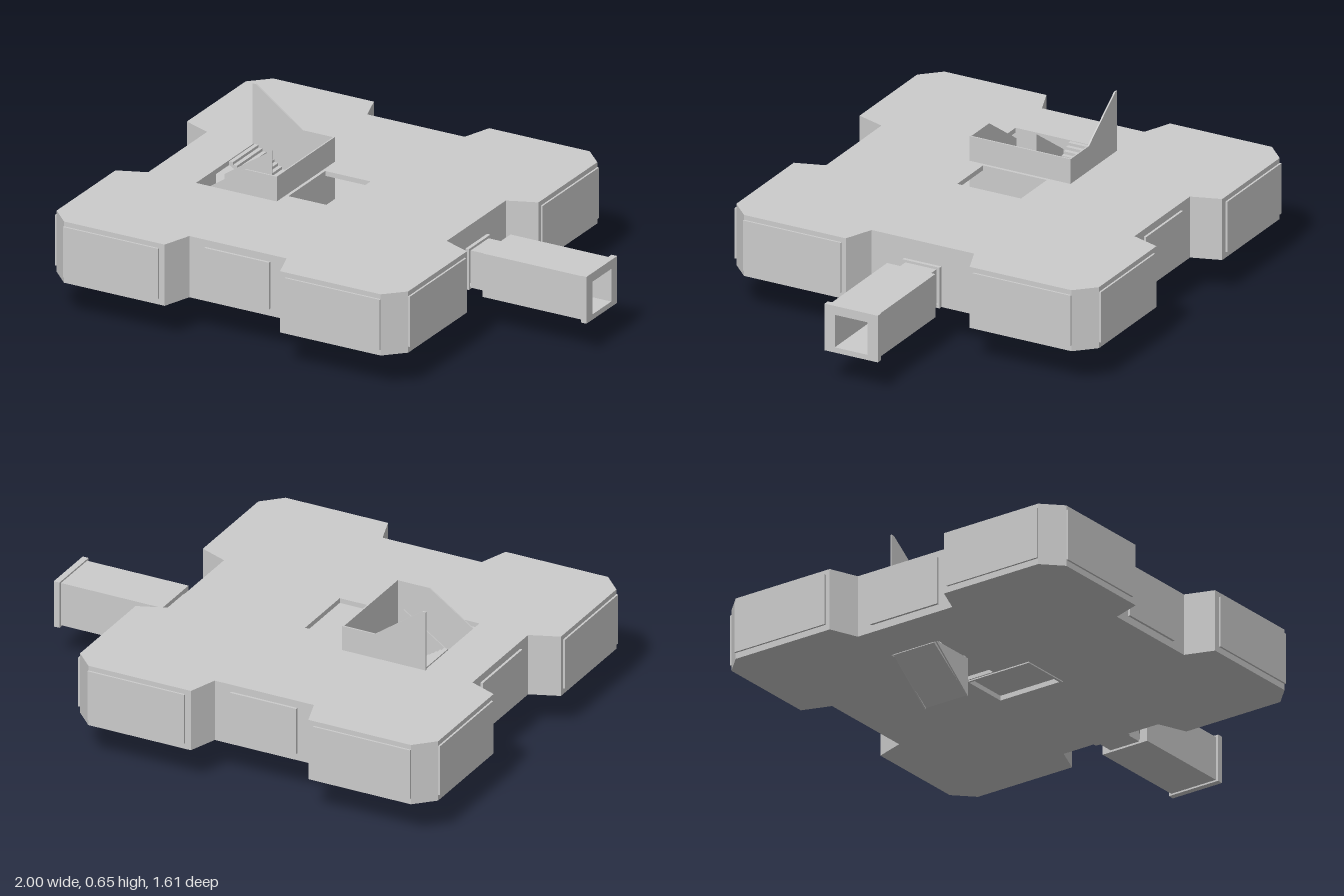
import * as THREE from 'three';

const CX = -0.215; // centre of the main hall
const FLOOR = 0.15, ROOF = 0.405, LANDING = 0.27;

export function createModel() {
  const model = new THREE.Group();
  const mat = new THREE.MeshStandardMaterial({ color: 0xcccccc, flatShading: true, side: THREE.DoubleSide });

  const add = (name, geo, parent = model) => {
    const m = new THREE.Mesh(geo, mat);
    m.name = name;
    parent.add(m);
    return m;
  };
  // Box given by its limits
  const box = (name, x0, x1, y0, y1, z0, z1, parent) =>
    add(name, new THREE.BoxGeometry(x1 - x0, y1 - y0, z1 - z0)
      .translate((x0 + x1) / 2, (y0 + y1) / 2, (z0 + z1) / 2), parent);
  const toShape = pts => new THREE.Shape(pts.map(p => new THREE.Vector2(p[0], p[1])));
  const rectPath = (x0, x1, y0, y1) => new THREE.Path(
    [[x0, y0], [x0, y1], [x1, y1], [x1, y0]].map(p => new THREE.Vector2(...p)));
  // Plan (x, -z) extruded upwards
  const plan = (name, shape, y0, y1, parent) => add(name,
    new THREE.ExtrudeGeometry(shape, { depth: y1 - y0, bevelEnabled: false })
      .rotateX(-Math.PI / 2).translate(0, y0, 0), parent);
  // Side profile (x, y) extruded along z
  const profile = (name, pts, z0, z1, parent) => add(name,
    new THREE.ExtrudeGeometry(toShape(pts), { depth: z1 - z0, bevelEnabled: false })
      .translate(0, 0, z0), parent);

  // Hall outline: four chamfered corner blocks with splayed notches between
  const outline = (inset = 0) => {
    const X = 0.777 - inset, Z = 0.797 - inset, nx = 0.66 - inset, nz = 0.678 - inset;
    const quarter = [
      [nx, 0.225 + inset], [X, 0.272 + inset], [X, 0.72 - inset * 0.4],
      [0.70 - inset * 0.4, Z], [0.255 + inset, Z], [0.215 + inset, nz]];
    const pts = [];
    [[1, 1], [-1, 1], [-1, -1], [1, -1]].forEach(([sx, sz]) => {
      const q = quarter.map(([x, z]) => [CX + x * sx, z * sz]);
      pts.push(...(sx * sz > 0 ? q : q.reverse()));
    });
    return pts;
  };

  const hall = new THREE.Group();
  hall.name = 'hall';
  model.add(hall);

  const walls = toShape(outline());
  walls.holes.push(new THREE.Path(outline(0.025).map(p => new THREE.Vector2(...p))));
  plan('outerWalls', walls, FLOOR, ROOF, hall);

  // Floor and roof slabs with stairwell and hatch openings
  const slab = (name, y0, y1, wellX1, wellZ0, inset) => {
    const s = toShape(outline(inset));
    s.holes.push(rectPath(-0.665, wellX1, wellZ0, 0.222));
    s.holes.push(rectPath(-0.295, -0.095, -0.155, 0.125));
    plan(name, s, y0, y1, hall);
  };
  slab('roof', ROOF - 0.02, ROOF, -0.308, -0.222, 0.002);
  slab('floor', FLOOR, FLOOR + 0.015, -0.31, -0.0, 0.002);

  // Slim frame under the floor hatch
  const frame = toShape([[-0.305, -0.165], [-0.085, -0.165], [-0.085, 0.135], [-0.305, 0.135]]);
  frame.holes.push(rectPath(-0.295, -0.095, -0.155, 0.125));
  plan('hatchFrame', frame, FLOOR - 0.005, FLOOR, hall);

  // Raised wall panels on the corner blocks and in the notches
  for (const s of [-1, 1]) {
    for (const t of [-1, 1]) {
      const px = CX + t * 0.49, pz = t * 0.505;
      const zz = [s * 0.795, s * 0.805].sort((a, b) => a - b);
      const xx = [CX + s * 0.775, CX + s * 0.785].sort((a, b) => a - b);
      box('cornerPanel', px - 0.21, px + 0.21, 0.175, 0.385, ...zz, hall);
      box('cornerPanel', ...xx, 0.175, 0.385, pz - 0.215, pz + 0.215, hall);
    }
    const nz = [s * 0.676, s * 0.688].sort((a, b) => a - b);
    box('notchPanel', CX - 0.143, CX + 0.143, 0.18, 0.375, ...nz, hall);
  }
  box('notchPanel', -0.885, -0.874, 0.18, 0.375, -0.16, 0.16, hall);

  // Docking tunnel: square tubes laid along x
  const tunnel = new THREE.Group();
  tunnel.name = 'tunnel';
  model.add(tunnel);
  const tube = (name, x0, x1, y0, y1, w) => {
    const s = toShape([[-w, y0], [w, y0], [w, y1], [-w, y1]]);
    s.holes.push(rectPath(-0.055, 0.055, 0.175, 0.285));
    if (w > 0.075) s.holes[0] = rectPath(-0.072, 0.072, 0.162, 0.298);
    add(name, new THREE.ExtrudeGeometry(s, { depth: x1 - x0, bevelEnabled: false })
      .rotateY(Math.PI / 2).translate(x0, 0, 0), tunnel);
  };
  tube('wallCollar', 0.44, 0.46, 0.15, 0.32, 0.082);
  tube('neck', 0.46, 0.535, 0.155, 0.31, 0.068);
  tube('passage', 0.535, 0.98, 0.147, 0.328, 0.106);
  tube('endFlange', 0.975, 1.0, 0.14, 0.335, 0.117);

  // Switchback stairs
  const stairs = new THREE.Group();
  stairs.name = 'stairs';
  model.add(stairs);
  const N = 12;
  const flight = (xa, ya, xb, yb, z0, z1) => {
    const pts = [[xa, ya]];
    const dx = (xb - xa) / N, dy = (yb - ya) / N;
    for (let i = 0; i < N; i++) {
      pts.push([xa + dx * i, ya + dy * (i + 1)], [xa + dx * (i + 1), ya + dy * (i + 1)]);
    }
    pts.push([xb, yb - 0.015]);
    profile('flight', pts, z0, z1, stairs);
  };
  flight(-0.45, 0.005, -0.66, FLOOR + 0.015, -0.215, -0.022);
  flight(-0.66, FLOOR, -0.45, LANDING, 0.015, 0.215);
  flight(-0.45, LANDING, -0.66, ROOF, -0.215, -0.022);
  box('landing', -0.45, -0.31, LANDING - 0.012, LANDING, -0.215, 0.215, stairs);

  // Solid balustrades
  const t = 0.006;
  profile('tallBalustrade', [[-0.67, 0.39], [-0.67, 0.655], [-0.655, 0.655], [-0.45, 0.508],
    [-0.31, 0.508], [-0.31, 0.25], [-0.45, 0.25]], -0.222, -0.222 + t, stairs);
  const low = [[-0.66, 0.15], [-0.66, 0.365], [-0.45, 0.508], [-0.45, 0.25], [-0.6, 0.15]];
  profile('middleBalustrade', low, 0.009, 0.009 + t, stairs);
  profile('outerBalustrade', [...low.slice(0, 3), [-0.31, 0.508], [-0.31, 0.25], ...low.slice(3)],
    0.216, 0.216 + t, stairs);
  box('endBalustrade', -0.314, -0.308, 0.25, 0.508, -0.222, 0.222, stairs);
  for (const z of [-0.222, -0.022]) {
    profile('lowerBalustrade', [[-0.655, 0.16], [-0.45, 0], [-0.45, 0.16]], z, z + t, stairs);
  }

  return model;
}
